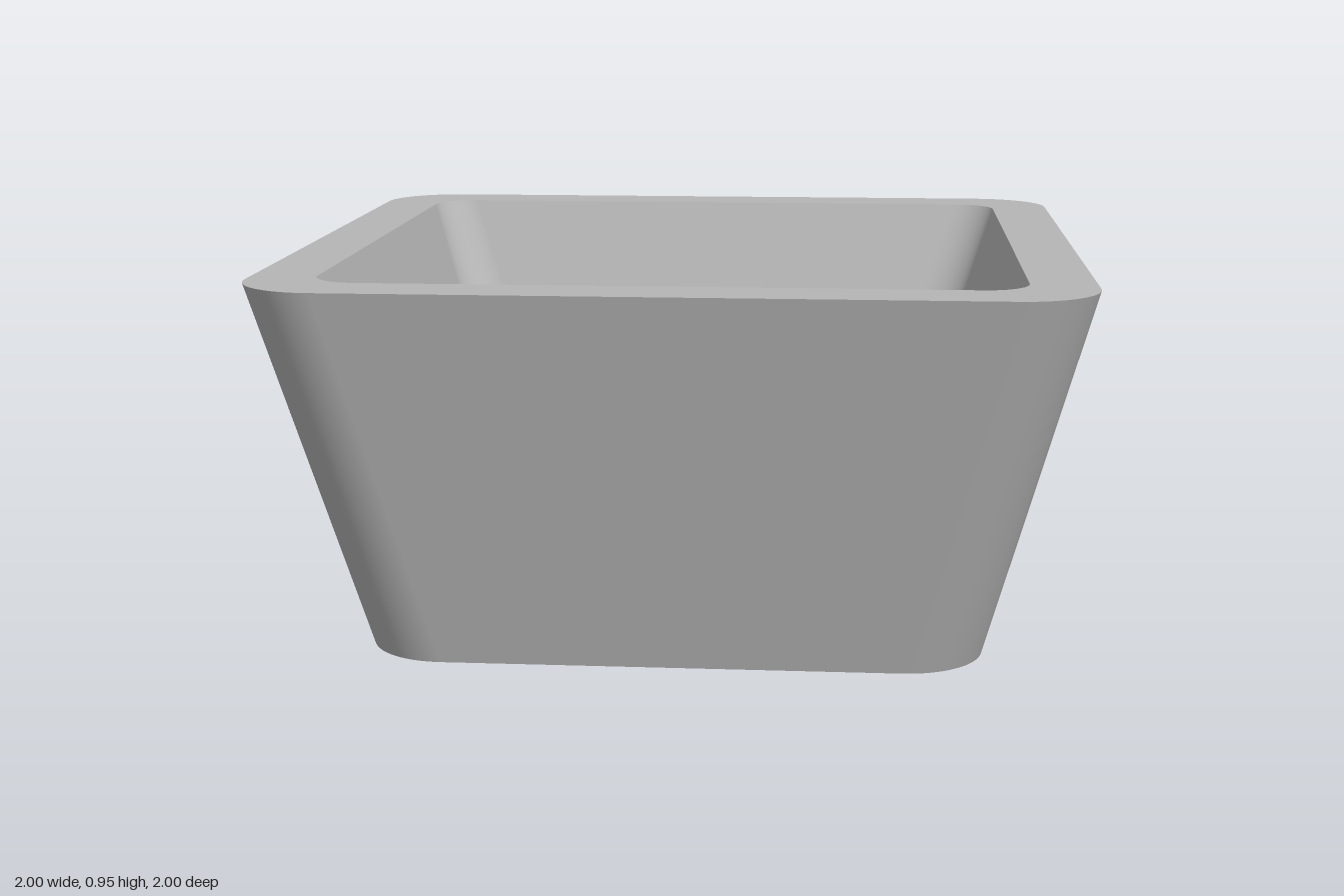
import * as THREE from 'three';
import { toCreasedNormals } from 'three/addons/utils/BufferGeometryUtils.js';

const HEIGHT = 0.95, FLOOR = 0.17, POST_TOP = 0.65;
const CORNER_STEPS = 14;

// Points of a rounded square (half size h, corner radius r) with outward angles
function ring(h, r) {
  const points = [];
  for (let corner = 0; corner < 4; corner++) {
    const mid = (corner + 0.5) * Math.PI / 2;
    const cx = Math.sign(Math.cos(mid)) * (h - r);
    const cy = Math.sign(Math.sin(mid)) * (h - r);
    for (let i = 0; i <= CORNER_STEPS; i++) {
      const a = (corner + i / CORNER_STEPS) * Math.PI / 2;
      points.push({ x: cx + r * Math.cos(a), y: cy + r * Math.sin(a), a });
    }
  }
  return points;
}

const outline = (h, r) => ring(h, r).map(p => new THREE.Vector2(p.x, p.y));

// Sloped wall between two rounded squares, smooth round the corners
function wall(low, high, inward) {
  const a = ring(low.h, low.r), b = ring(high.h, high.r), n = a.length;
  const positions = [], normals = [], index = [];
  const side = inward ? -1 : 1;
  for (let i = 0; i < n; i++) {
    const c = Math.cos(a[i].a), s = Math.sin(a[i].a);
    const spread = (high.h - high.r - low.h + low.r) * (Math.abs(c) + Math.abs(s)) + high.r - low.r;
    const normal = new THREE.Vector3(c, -spread / (high.y - low.y), s).normalize().multiplyScalar(side);
    positions.push(a[i].x, low.y, a[i].y, b[i].x, high.y, b[i].y);
    normals.push(...normal.toArray(), ...normal.toArray());
    const p = 2 * i, q = 2 * ((i + 1) % n);
    if (inward) index.push(p, q, p + 1, q, q + 1, p + 1);
    else index.push(p, p + 1, q, q, p + 1, q + 1);
  }
  const geometry = new THREE.BufferGeometry();
  geometry.setAttribute('position', new THREE.Float32BufferAttribute(positions, 3));
  geometry.setAttribute('normal', new THREE.Float32BufferAttribute(normals, 3));
  geometry.setIndex(index);
  return geometry;
}

// Flat horizontal face at height y
function plate(shape, y, facingDown = false) {
  return new THREE.ShapeGeometry(shape)
    .rotateX(facingDown ? Math.PI / 2 : -Math.PI / 2)
    .translate(0, y, 0);
}

// Plus-shaped socket outline, built by turning one arm four times
function crossPath(reach, half) {
  const points = [];
  for (let k = 0; k < 4; k++) {
    for (const [x, y] of [[reach, -half], [reach, half], [half, half]]) {
      points.push(new THREE.Vector2(x, y).rotateAround(new THREE.Vector2(), k * Math.PI / 2));
    }
  }
  return new THREE.Path(points);
}

export function createModel() {
  const model = new THREE.Group();
  model.name = 'keycap';
  const plastic = new THREE.MeshStandardMaterial({ color: 0xb6b6b6 });
  plastic.name = 'grey plastic';

  const add = (name, geometry) => {
    const mesh = new THREE.Mesh(geometry, plastic);
    mesh.name = name;
    model.add(mesh);
  };

  const outerLow = { h: 0.765, r: 0.2, y: 0 }, outerHigh = { h: 1, r: 0.2, y: HEIGHT };
  const innerLow = { h: 0.573, r: 0.125, y: FLOOR }, innerHigh = { h: 0.842, r: 0.11, y: HEIGHT };

  // Tapered shell
  add('outerWall', wall(outerLow, outerHigh, false));
  add('innerWall', wall(innerLow, innerHigh, true));

  const rim = new THREE.Shape(outline(outerHigh.h, outerHigh.r));
  rim.holes.push(new THREE.Path(outline(innerHigh.h, innerHigh.r)));
  add('rim', plate(rim, HEIGHT));
  add('floor', plate(new THREE.Shape(outline(innerLow.h, innerLow.r)), FLOOR));
  add('base', plate(new THREE.Shape(outline(outerLow.h, outerLow.r)), 0, true));

  // Round post with a cross-shaped socket
  const post = new THREE.Shape().absarc(0, 0, 0.294, 0, Math.PI * 2);
  post.holes.push(crossPath(0.217, 0.068));
  const postGeometry = new THREE.ExtrudeGeometry(post, {
    depth: POST_TOP - FLOOR, bevelEnabled: false, curveSegments: 64,
  }).rotateX(-Math.PI / 2).translate(0, FLOOR, 0);
  add('post', toCreasedNormals(postGeometry, 0.6));

  return model;
}
